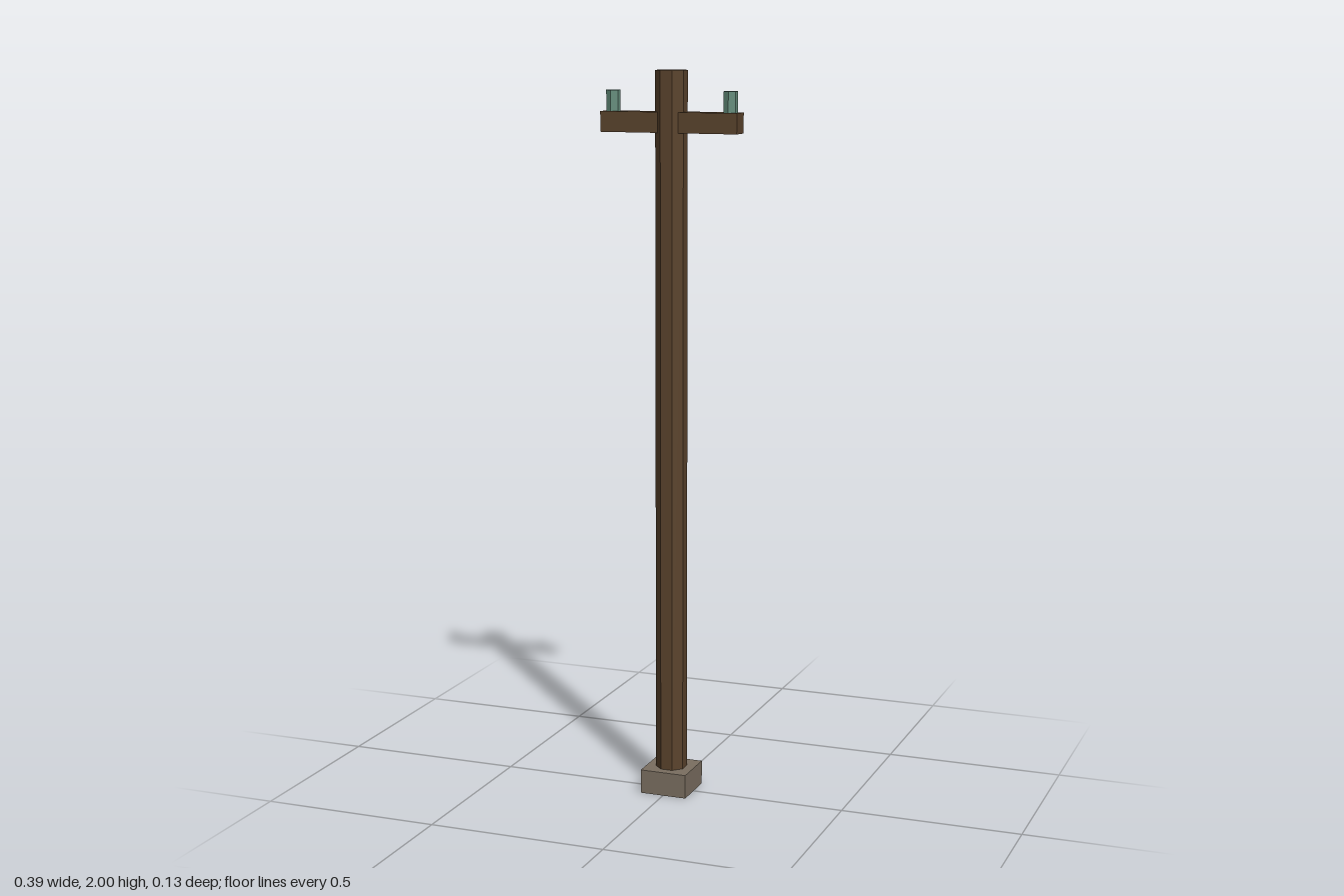
import * as THREE from 'three';

function material(name, color) {
  const m = new THREE.MeshStandardMaterial({ color, flatShading: true });
  m.name = name;
  return m;
}

export function createModel() {
  const group = new THREE.Group();
  group.name = 'utilityPole';
  const wood = material('dark wood', 0x5a432c);
  const stone = material('grey stone', 0x7a6e60);
  const glass = material('green glass', 0x648c7b);

  const add = (name, geometry, mat, x, y) => {
    const mesh = new THREE.Mesh(geometry, mat);
    mesh.name = name;
    mesh.position.set(x, y, 0);
    group.add(mesh);
  };

  // Square footing
  add('footing', new THREE.BoxGeometry(0.133, 0.067, 0.133), stone, 0, 0.0335);

  // Eight-sided post with its flats facing the axes
  const radius = 0.04 / Math.cos(Math.PI / 8);
  const post = new THREE.CylinderGeometry(radius, radius, 1.94, 8).rotateY(Math.PI / 8);
  add('post', post, wood, 0, 1.03);

  // Crossarm
  add('crossarm', new THREE.BoxGeometry(0.388, 0.055, 0.055), wood, 0, 1.8625);

  // Six-sided insulators, one near each end of the crossarm
  for (const [name, side] of [['leftInsulator', 1], ['rightInsulator', -1]]) {
    add(name, new THREE.CylinderGeometry(0.0193, 0.0193, 0.056, 6), glass, side * 0.167, 1.918);
  }
  return group;
}
